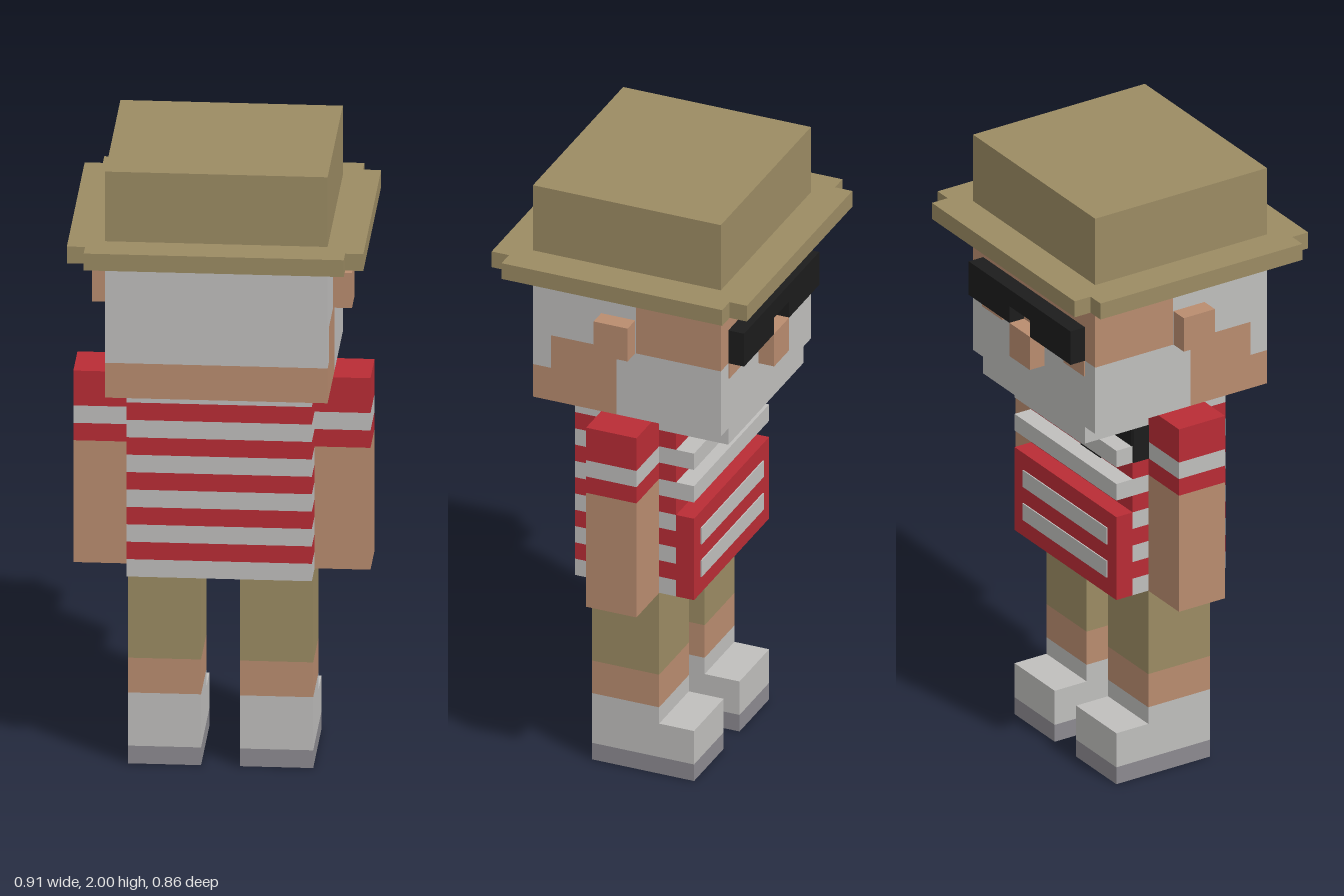
import * as THREE from 'three';

const colour = (name, hex) => {
  const m = new THREE.MeshStandardMaterial({ color: hex });
  m.name = name;
  return m;
};

export function createModel() {
  const khaki = colour('khaki', 0x9b8b63);
  const skin = colour('skin', 0xb98c6f);
  const white = colour('offWhite', 0xbfbebc);
  const red = colour('red', 0xb92c35);
  const grey = colour('soleGrey', 0x8c8a90);
  const black = colour('black', 0x1c1c1c);

  const model = new THREE.Group();
  model.name = 'blockFigure';
  const part = (name, parent = model) => {
    const g = new THREE.Group();
    g.name = name;
    parent.add(g);
    return g;
  };
  // Box given by its limits along each axis
  const box = (parent, name, mat, [x0, x1], [y0, y1], [z0, z1]) => {
    const mesh = new THREE.Mesh(new THREE.BoxGeometry(x1 - x0, y1 - y0, z1 - z0), mat);
    mesh.position.set((x0 + x1) / 2, (y0 + y1) / 2, (z0 + z1) / 2);
    mesh.name = name;
    parent.add(mesh);
  };
  // Limits along x for one side of the body
  const side = (s, a, b) => (s > 0 ? [a, b] : [-b, -a]);

  // Hat: crown and a brim with notched corners
  const hat = part('hat');
  box(hat, 'crown', khaki, [-0.342, 0.342], [1.772, 2], [-0.315, 0.315]);
  box(hat, 'brim', khaki, [-0.4, 0.4], [1.717, 1.772], [-0.428, 0.428]);
  for (const s of [1, -1]) {
    box(hat, 'brimSide', khaki, side(s, 0.4, 0.456), [1.717, 1.772], [-0.37, 0.37]);
  }

  // Head: blocks of skin, hair and beard; the face looks along -z
  const head = part('head');
  const hx = [-0.342, 0.342];
  box(head, 'hair', white, hx, [1.488, 1.717], [-0.03, 0.315]);
  box(head, 'upperFace', skin, hx, [1.488, 1.717], [-0.315, -0.03]);
  box(head, 'beard', white, hx, [1.26, 1.488], [-0.315, 0.035]);
  box(head, 'neckSides', skin, hx, [1.26, 1.488], [0.035, 0.255]);
  box(head, 'lowerHair', white, hx, [1.374, 1.488], [0.255, 0.315]);
  box(head, 'nape', skin, hx, [1.26, 1.374], [0.255, 0.315]);
  box(head, 'chinBeard', white, [-0.285, 0.285], [1.203, 1.26], [-0.315, -0.14]);
  box(head, 'nose', skin, [-0.057, 0.057], [1.374, 1.488], [-0.368, -0.315]);
  box(head, 'glassesBar', black, [-0.285, 0.285], [1.545, 1.603], [-0.368, -0.315]);
  for (const s of [1, -1]) {
    box(head, 'glassesLens', black, side(s, 0.057, 0.285), [1.488, 1.545], [-0.368, -0.315]);
    box(head, 'cheek', skin, side(s, 0.171, 0.285), [1.435, 1.488], [-0.319, -0.315]);
    box(head, 'ear', skin, side(s, 0.342, 0.4), [1.488, 1.603], [-0.028, 0.086]);
  }

  // Torso: eleven alternating shirt stripes
  const torso = part('torso');
  const stripe = (1.26 - 0.633) / 11;
  const level = (i) => 0.633 + i * stripe;
  const tx = [-0.285, 0.285];
  for (let i = 0; i < 11; i++) {
    box(torso, 'shirtStripe', i % 2 ? red : white, tx, [level(i), level(i + 1)], [-0.14, 0.2]);
  }
  // Raised white bands and the red pouch on the chest
  for (const i of [6, 8]) {
    box(torso, 'chestBand', white, tx, [level(i), level(i + 1)], [-0.2, -0.14]);
  }
  box(torso, 'pouch', red, tx, [level(0), level(5)], [-0.2, -0.14]);
  for (const i of [1, 3]) {
    box(torso, 'pouchStripe', white, [-0.235, 0.235], [level(i), level(i + 1)], [-0.204, -0.2]);
  }
  // Dark strap running down from one shoulder
  box(torso, 'strapSide', black, [-0.289, -0.285], [level(8), level(10)], [-0.14, -0.08]);
  box(torso, 'strapUpper', black, [-0.285, -0.1], [level(9), level(10)], [-0.144, -0.14]);
  box(torso, 'strapLower', black, [-0.11, 0], [level(7), level(8)], [-0.144, -0.14]);

  for (const s of [1, -1]) {
    const label = s > 0 ? 'left' : 'right';

    // Arm with striped sleeve
    const arm = part(label + 'Arm');
    const ax = side(s, 0.285, 0.457);
    const az = [-0.083, 0.086];
    box(arm, 'forearm', skin, ax, [level(0), level(7)], az);
    box(arm, 'cuff', red, ax, [level(7), level(8)], az);
    box(arm, 'sleeveStripe', white, ax, [level(8), level(9)], az);
    box(arm, 'sleeve', red, ax, [level(9), level(11)], az);

    // Leg with shorts, bare shin, boot and sole
    const leg = part(label + 'Leg');
    const lx = side(s, 0.06, 0.285);
    const lz = [-0.083, 0.143];
    box(leg, 'shorts', khaki, lx, [0.346, 0.633], lz);
    box(leg, 'shin', skin, lx, [0.232, 0.346], lz);
    box(leg, 'boot', white, lx, [0.058, 0.232], lz);
    box(leg, 'toe', white, lx, [0.058, 0.175], [-0.2, -0.083]);
    box(leg, 'sole', grey, lx, [0, 0.058], [-0.2, 0.143]);
  }

  return model;
}
